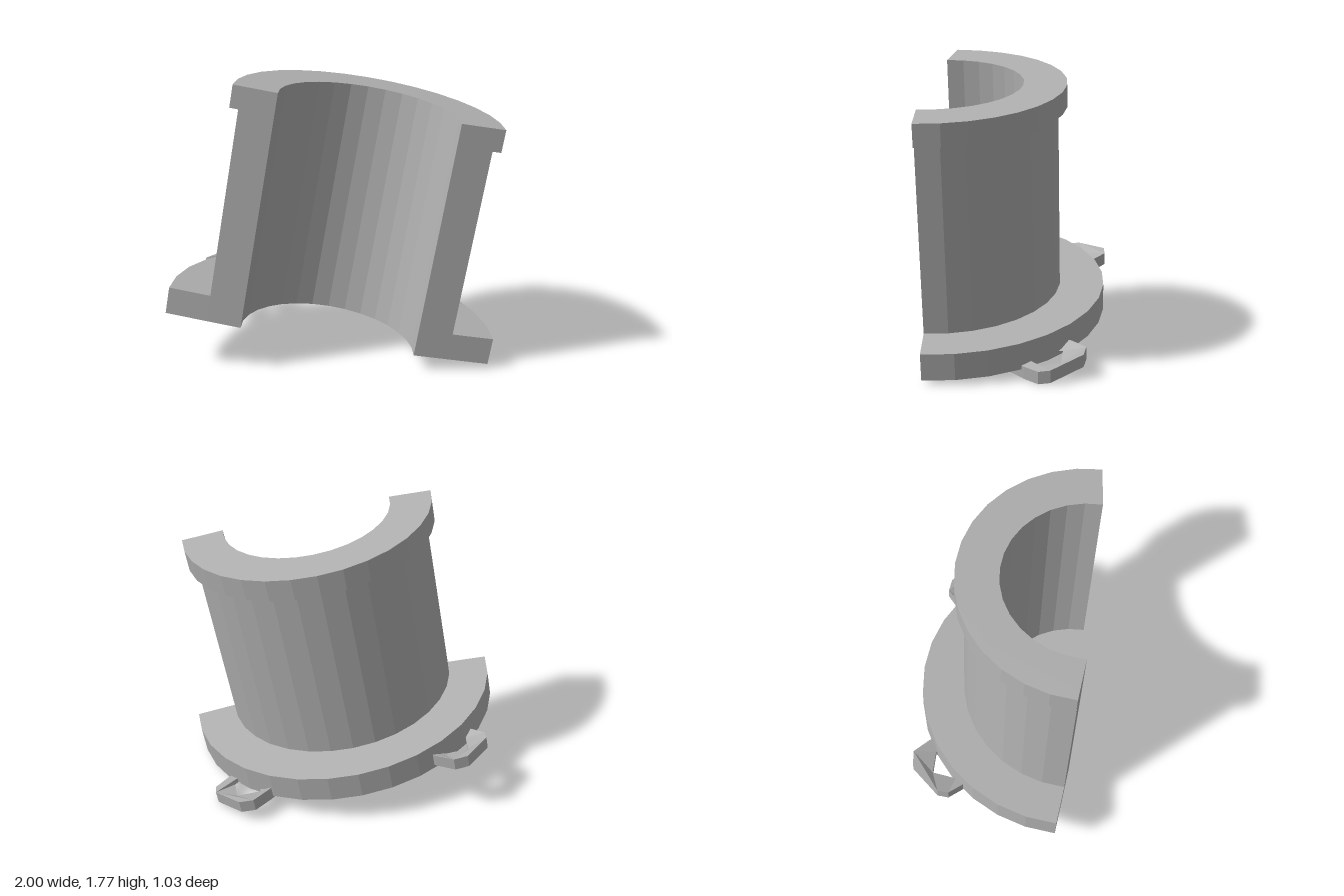
import * as THREE from 'three';

const grey = new THREE.MeshStandardMaterial({ color: 0xb0b0b0 });
grey.name = 'plain grey';

// Points of a half circle behind the cut; cz is its centre in z, endZ where it meets the cut
function arc(r, cz, endZ, segments = 16) {
  const over = Math.asin((endZ - cz) / r);
  const pts = [];
  for (let i = 0; i <= segments; i++) {
    const t = -over + (Math.PI + 2 * over) * i / segments;
    pts.push(new THREE.Vector2(r * Math.cos(t), r * Math.sin(t) - cz));
  }
  return pts;
}

// Half ring between two arcs, standing upright
function halfRing(name, inner, outer, bottom, height) {
  const shape = new THREE.Shape([...outer, ...inner.reverse()]);
  const geo = new THREE.ExtrudeGeometry(shape, { depth: height, bevelEnabled: false });
  geo.rotateX(-Math.PI / 2).translate(0, bottom, 0);
  const mesh = new THREE.Mesh(geo, grey);
  mesh.name = name;
  return mesh;
}

// Angular eyelet with a squarish hole, dished on top and sloping up to the back
function lug(name, side, x, z, bottom) {
  const half = [[-0.13, 0.13], [-0.03, 0.22], [0.06, 0.21], [0.21, 0.03], [0.21, -0.04]];
  const point = ([a, b]) => new THREE.Vector2(side * a, b);
  const shape = new THREE.Shape([...half, ...half.map(([a, b]) => [-a, -b])].map(point));
  const hole = [[-0.07, 0.08], [0.08, 0.08], [0.09, -0.07], [-0.08, -0.08]];
  shape.holes.push(new THREE.Path(hole.map(point)));
  const geo = new THREE.ExtrudeGeometry(shape, { depth: 0.08, bevelEnabled: false });
  geo.rotateX(-Math.PI / 2);
  const p = geo.attributes.position;
  for (let i = 0; i < p.count; i++) {
    const px = p.getX(i), pz = p.getZ(i);
    const dish = Math.hypot(px, pz) < 0.15 && p.getY(i) > 0.04 ? 0.03 : 0;
    p.setY(i, p.getY(i) - dish - 0.16 * (pz + z) + bottom);
  }
  geo.translate(x, 0, z);
  geo.computeVertexNormals();
  const mesh = new THREE.Mesh(geo, grey);
  mesh.name = name;
  return mesh;
}

export function createModel() {
  const model = new THREE.Group();
  model.name = 'halfFlangedSleeve';

  // Everything leans towards +x
  const sleeve = new THREE.Group();
  sleeve.name = 'tiltedSleeve';
  sleeve.position.set(-0.0225, 0.2, 0);
  sleeve.rotation.z = -THREE.MathUtils.degToRad(9.6);
  model.add(sleeve);

  const wall = () => arc(0.738, 0.497, 0.495);
  sleeve.add(
    halfRing('sleeveWall', arc(0.53, 0.495, 0.515), wall(), 0, 1.467),
    halfRing('bottomFlange', wall(), arc(0.99, 0.475, 0.47), 0, 0.167),
    halfRing('topFlange', wall(), arc(0.79, 0.495, 0.49), 1.33, 0.137),
    lug('leftLug', 1, 0.702, -0.23, -0.07),
    lug('rightLug', -1, -0.626, -0.275, -0.04)
  );
  return model;
}
